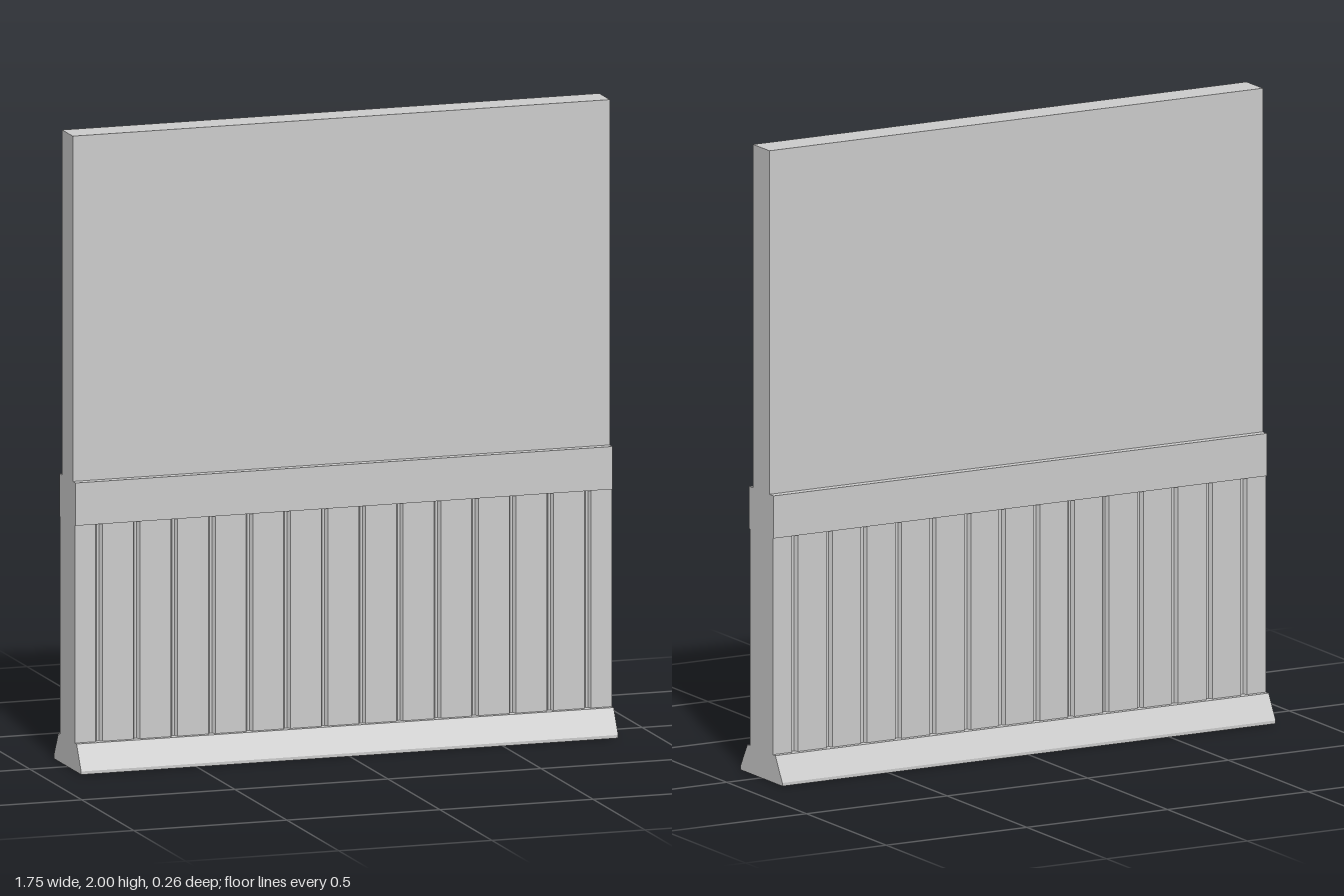
import * as THREE from 'three';

const HALF_W = 0.877;

export function createModel() {
  const group = new THREE.Group();
  const material = new THREE.MeshStandardMaterial({ color: 0xcccccc, flatShading: true });

  const add = (name, geometry) => {
    const mesh = new THREE.Mesh(geometry, material);
    mesh.name = name;
    group.add(mesh);
    return mesh;
  };
  const slab = (name, y0, y1, halfDepth) => {
    add(name, new THREE.BoxGeometry(HALF_W * 2, y1 - y0, halfDepth * 2)).position.y = (y0 + y1) / 2;
  };

  // Plain upper wall and the rail below it
  slab('upperWall', 0.91, 2, 0.051);
  slab('rail', 0.775, 0.91, 0.077);

  // Panelling: plan outline with narrow grooves on both faces, extruded upwards
  const face = 0.072, depth = 0.012, count = 14, spacing = 0.1228;
  const edge = [[-HALF_W, face]];
  for (let i = 0; i < count; i++) {
    const x = (i - (count - 1) / 2) * spacing;
    edge.push([x - 0.011, face], [x - 0.004, face - depth], [x + 0.004, face - depth], [x + 0.011, face]);
  }
  edge.push([HALF_W, face]);
  const outline = [...edge, ...edge.map(([x, z]) => [x, -z]).reverse()];
  const plan = new THREE.Shape(outline.map(([x, z]) => new THREE.Vector2(x, z)));
  const panelling = new THREE.ExtrudeGeometry(plan, { depth: 0.775 - 0.08, bevelEnabled: false });
  panelling.rotateX(-Math.PI / 2).translate(0, 0.08, 0);
  add('groovedPanelling', panelling);

  // Skirting: sloped cross-section extruded along the wall
  const half = [[0.132, 0], [0.132, 0.01], [0.088, 0.088]];
  const section = [...half, ...half.map(([z, y]) => [-z, y]).reverse()];
  const profile = new THREE.Shape(section.map(([z, y]) => new THREE.Vector2(z, y)));
  const skirting = new THREE.ExtrudeGeometry(profile, { depth: HALF_W * 2, bevelEnabled: false });
  skirting.translate(0, 0, -HALF_W).rotateY(Math.PI / 2);
  add('skirting', skirting);

  return group;
}
